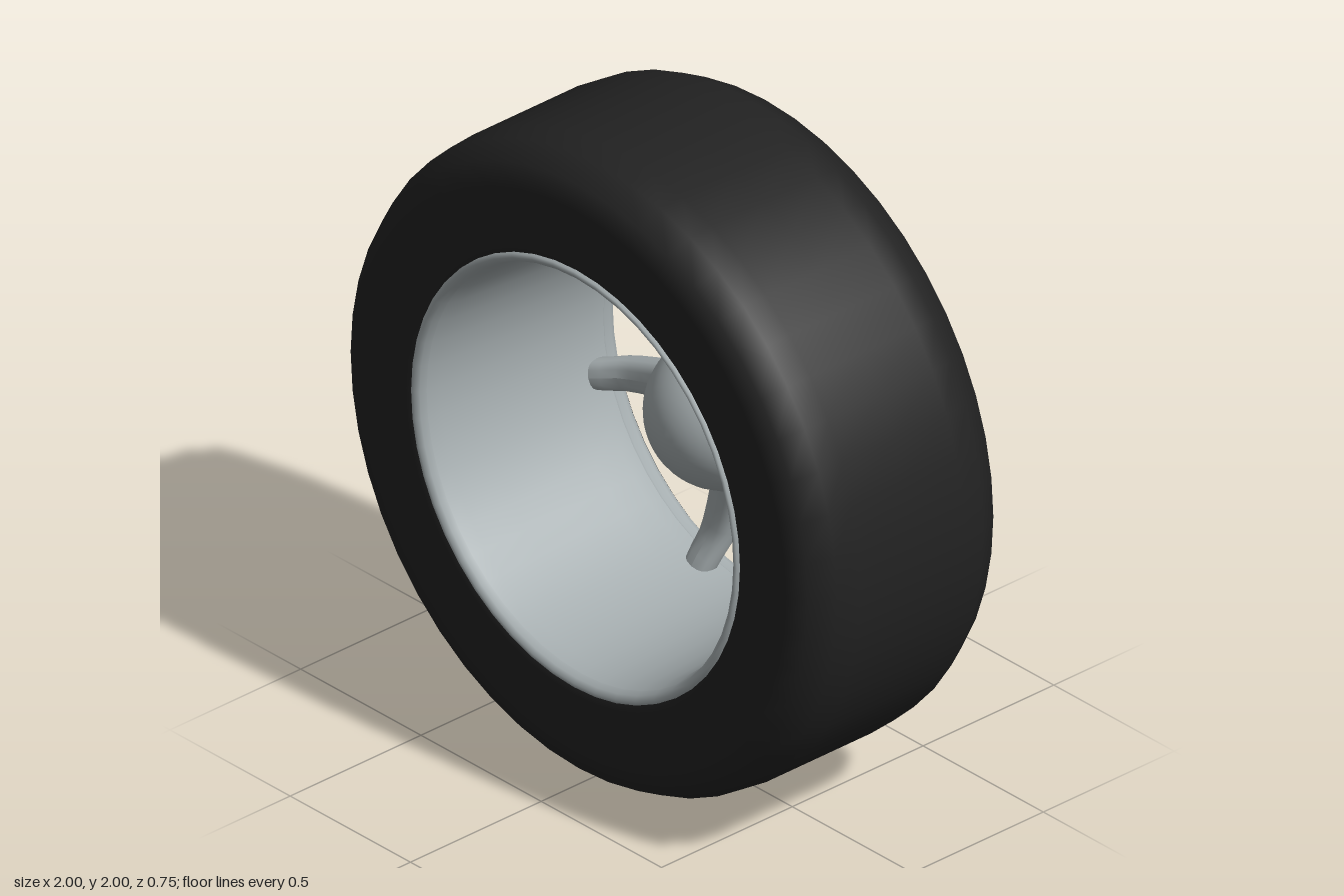
import * as THREE from 'three';

const mat = (name, color, side = THREE.FrontSide) => {
  const m = new THREE.MeshStandardMaterial({ color, side });
  m.name = name;
  return m;
};

export function createModel() {
  const rubber = mat('tyre rubber', 0x222222);
  const silver = mat('silver alloy', 0xa6aeb0);
  const black = mat('black plastic', 0x1a1a1a);
  const wheel = new THREE.Group();
  wheel.name = 'wheel';
  wheel.position.y = 1;

  const add = (name, geometry, material, parent = wheel) => {
    const mesh = new THREE.Mesh(geometry, material);
    mesh.name = name;
    parent.add(mesh);
    return mesh;
  };
  // revolve [radius, z] points around the axle
  const turned = (points, segments = 48) =>
    new THREE.LatheGeometry(points.map(([r, z]) => new THREE.Vector2(r, z)), segments).rotateX(Math.PI / 2);
  // cylinder along the axle, from z0 to z1
  const disc = (r0, r1, z0, z1, sides = 32) =>
    new THREE.CylinderGeometry(r1, r0, z1 - z0, sides).rotateX(Math.PI / 2).translate(0, 0, (z0 + z1) / 2);

  // Tyre
  add('tyre', turned([
    [0.64, -0.345], [0.65, -0.37], [0.7, -0.375], [0.88, -0.375], [0.95, -0.355], [0.99, -0.28], [1, -0.2],
    [1, 0], [1, 0.2], [0.99, 0.28], [0.95, 0.355], [0.88, 0.375], [0.7, 0.375], [0.67, 0.36],
  ]), rubber);

  // Rim barrel, listed front to back so that its faces point inwards
  add('rimBarrel', turned([
    [0.645, 0.345], [0.635, 0.3], [0.625, 0.15], [0.615, 0], [0.607, -0.15], [0.605, -0.25], [0.612, -0.3],
  ]), silver);
  add('rimFrontLip', turned([
    [0.68, 0.36], [0.677, 0.375], [0.665, 0.375], [0.652, 0.365], [0.645, 0.345],
  ]), silver);
  add('rimBackLip', turned([
    [0.612, -0.3], [0.625, -0.315], [0.632, -0.345], [0.64, -0.362], [0.65, -0.365],
  ]), silver);

  // Hub: dome on the inner side, flat face on the outer side
  const dome = new THREE.SphereGeometry(0.23, 32, 12, 0, Math.PI * 2, 0, Math.PI / 2).rotateX(Math.PI / 2);
  add('hubDome', dome, silver).position.z = -0.2;
  add('hubBody', disc(0.21, 0.23, -0.32, -0.2), silver);
  add('hubFace', disc(0.2, 0.21, -0.33, -0.32), silver);
  add('centreCap', disc(0.092, 0.092, -0.337, -0.325), black);

  // Spokes: a rounded bar, tapering outwards and bending in at the rim
  const inner = 0.14, outer = 0.618;
  const spokeZ = (r) => -0.283 - 0.022 * Math.sin(Math.PI * (r - inner) / (outer - inner))
    + 0.03 * THREE.MathUtils.smoothstep(r, 0.5, outer);
  const halfDepth = (r) => THREE.MathUtils.mapLinear(r, inner, outer, 0.05, 0.04);
  const spoke = new THREE.CylinderGeometry(1, 1, 1, 16, 10);
  const p = spoke.attributes.position;
  const soften = (v) => Math.sign(v) * Math.abs(v) ** 0.75;
  for (let i = 0; i < p.count; i++) {
    const r = THREE.MathUtils.lerp(inner, outer, p.getY(i) + 0.5);
    const halfWidth = THREE.MathUtils.mapLinear(r, inner, outer, 0.068, 0.045);
    p.setXYZ(i, soften(p.getX(i)) * halfWidth, r, spokeZ(r) + soften(p.getZ(i)) * halfDepth(r));
  }
  spoke.computeVertexNormals();

  // Narrow raised strip along the outer side of each spoke
  const strip = new THREE.BoxGeometry(0.026, 0.28, 0.008, 1, 8, 1);
  const s = strip.attributes.position;
  for (let i = 0; i < s.count; i++) {
    const r = s.getY(i) + 0.44;
    s.setXYZ(i, s.getX(i), r, spokeZ(r) - halfDepth(r) + s.getZ(i));
  }
  strip.computeVertexNormals();

  for (let i = 0; i < 6; i++) {
    const group = new THREE.Group();
    group.name = 'spoke';
    group.rotation.z = (15 + 60 * i - 90) * Math.PI / 180;
    add('spokeBar', spoke, silver, group);
    add('spokeStrip', strip, silver, group);
    wheel.add(group);
  }

  // Wheel bolts
  const socket = disc(0.032, 0.032, -0.335, -0.3, 16);
  const bolt = disc(0.022, 0.024, -0.355, -0.32, 6);
  for (let i = 0; i < 5; i++) {
    const a = i * Math.PI * 2 / 5;
    const group = new THREE.Group();
    group.name = 'wheelBolt';
    group.position.set(0.18 * Math.cos(a), 0.18 * Math.sin(a), 0);
    add('boltSocket', socket, black, group);
    add('boltHead', bolt, silver, group);
    wheel.add(group);
  }

  // Valve stem
  add('valveStem', disc(0.013, 0.018, -0.374, -0.29, 12), black).position.set(0.556, 0.278, 0);

  const model = new THREE.Group();
  model.name = 'roadWheel';
  model.add(wheel);
  return model;
}
